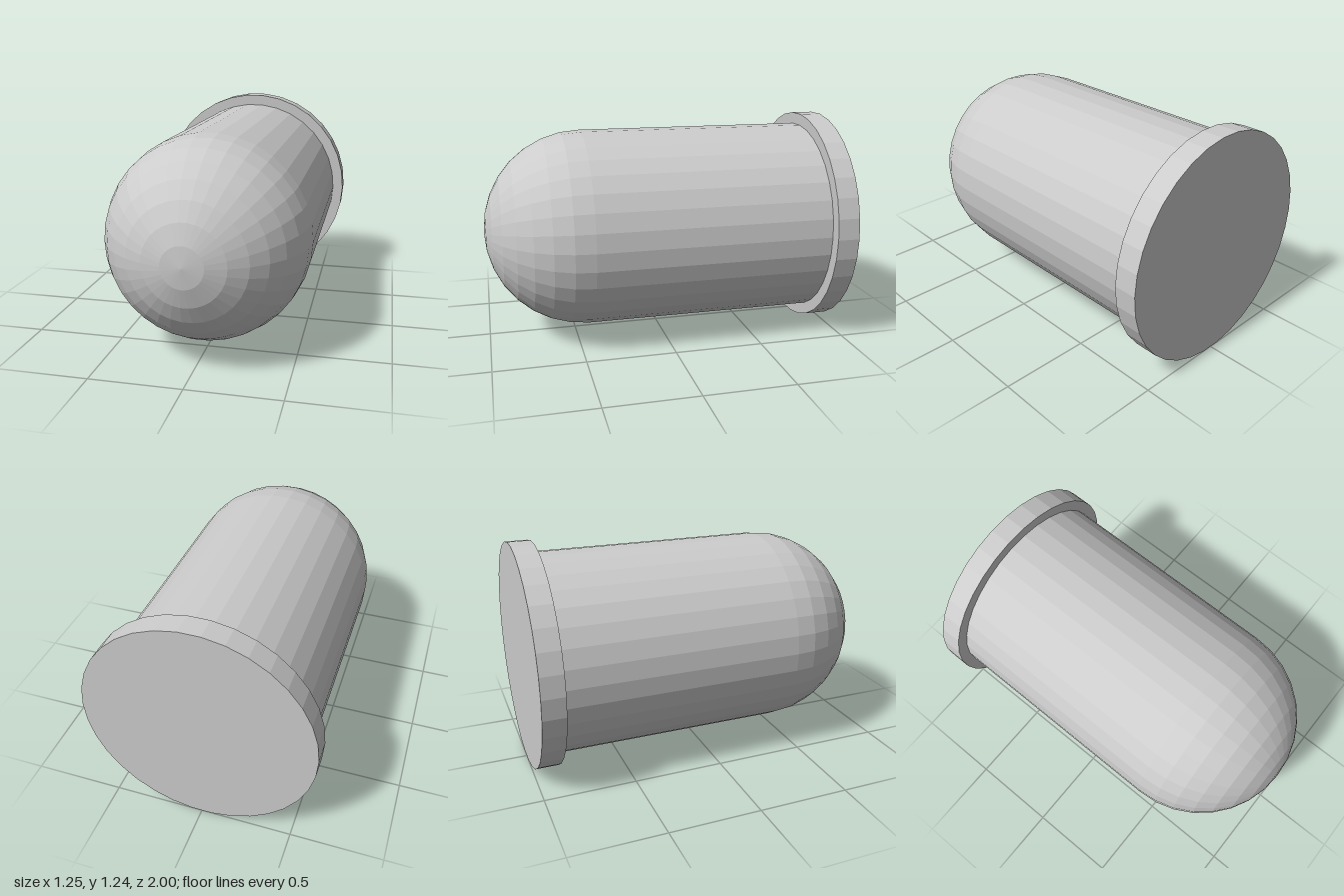
import * as THREE from 'three';

const SIDES = 34;
const FLANGE_R = 0.625;
const BODY_R = 0.56;
const BACK = -1, FLANGE_FRONT = -0.875, DOME_START = 0.44;

export function createModel() {
  const group = new THREE.Group();
  const material = new THREE.MeshStandardMaterial({ color: 0xcccccc, flatShading: true });
  const axisY = FLANGE_R * Math.cos(Math.PI / SIDES); // rests on a flat side

  const add = (name, geometry, z) => {
    geometry.rotateX(Math.PI / 2); // lay the axis along +z
    const mesh = new THREE.Mesh(geometry, material);
    mesh.name = name;
    mesh.position.set(0, axisY, z);
    group.add(mesh);
  };

  // Wide closed disc at the back
  const depth = FLANGE_FRONT - BACK;
  add('flange',
    new THREE.CylinderGeometry(FLANGE_R, FLANGE_R, depth, SIDES, 1, false, Math.PI / 2),
    BACK + depth / 2);

  // Straight barrel with a hemispherical nose
  const profile = [new THREE.Vector2(BODY_R, FLANGE_FRONT)];
  const rings = 8;
  for (let i = 0; i <= rings; i++) {
    const a = (i / rings) * Math.PI / 2;
    profile.push(new THREE.Vector2(
      i === rings ? 0 : BODY_R * Math.cos(a),
      DOME_START + BODY_R * Math.sin(a)));
  }
  add('domedBody', new THREE.LatheGeometry(profile, SIDES, Math.PI / 2), 0);

  return group;
}
